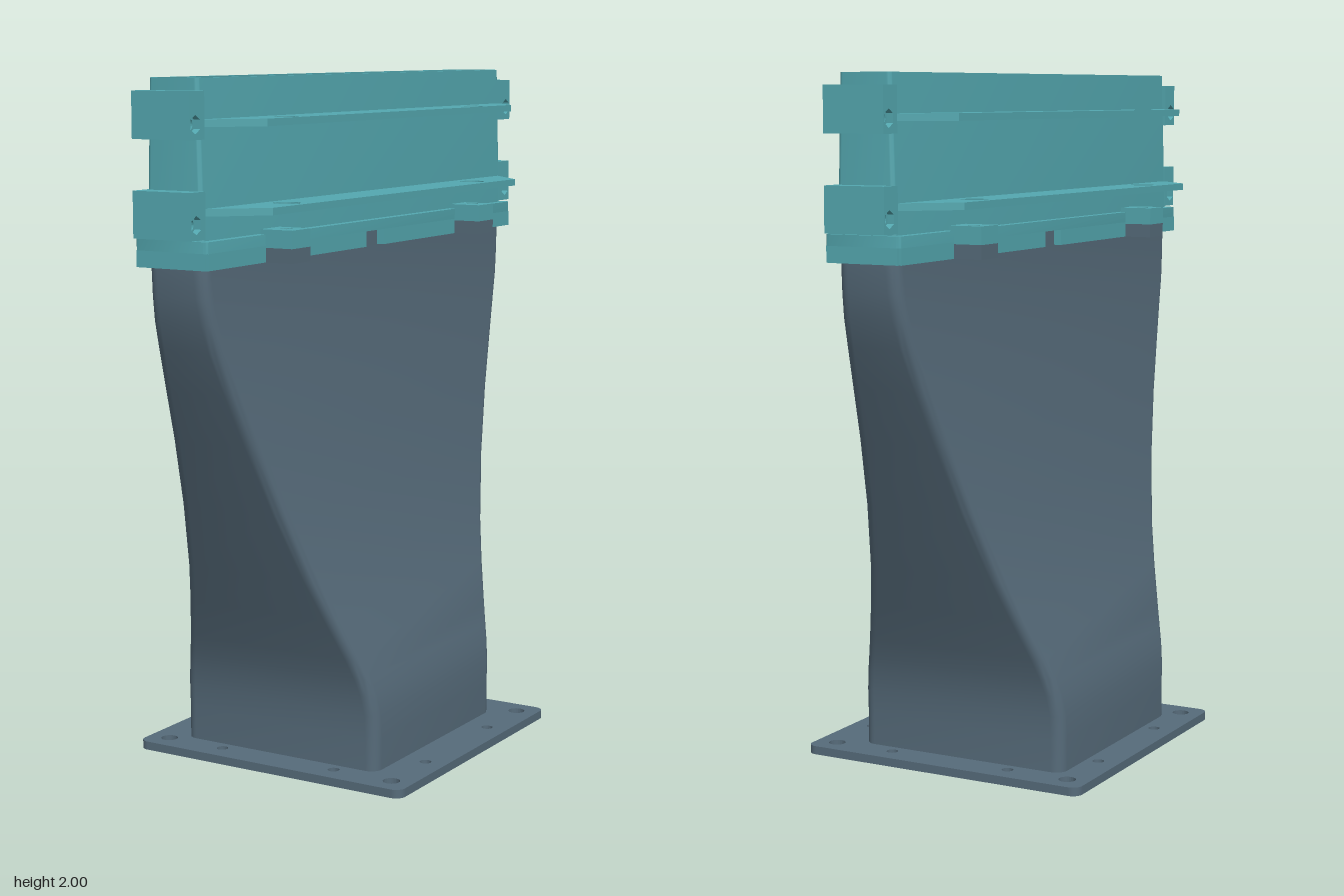
import * as THREE from 'three';
import { toCreasedNormals } from 'three/addons/utils/BufferGeometryUtils.js';

const CX = -0.018; // the duct sits slightly off the flange centre

const slate = new THREE.MeshStandardMaterial({ name: 'slate grey', color: 0x566b7a });
const teal = new THREE.MeshStandardMaterial({ name: 'teal', color: 0x54a8b0 });

// Closed tube wall: rounded-rectangle rings [y, halfX, halfZ, radius], up the outside and down the inside
function shell(rings) {
  const pos = [], index = [], seg = 6, n = 4 * (seg + 1);
  for (const [y, hx, hz, r] of rings) {
    for (let q = 0; q < 4; q++) {
      const sx = q === 0 || q === 3 ? 1 : -1, sz = q < 2 ? 1 : -1;
      for (let k = 0; k <= seg; k++) {
        const a = (q + k / seg) * Math.PI / 2;
        pos.push(sx * (hx - r) + r * Math.cos(a), y, sz * (hz - r) + r * Math.sin(a));
      }
    }
  }
  for (let i = 0; i < rings.length; i++) {
    const up = (i + 1) % rings.length;
    for (let j = 0; j < n; j++) {
      const k = (j + 1) % n;
      const a = i * n + j, b = i * n + k, c = up * n + k, d = up * n + j;
      index.push(a, d, b, b, d, c);
    }
  }
  const g = new THREE.BufferGeometry();
  g.setAttribute('position', new THREE.Float32BufferAttribute(pos, 3));
  g.setIndex(index);
  return toCreasedNormals(g, 0.6);
}

// Outline with round holes [x, y, radius, sides]
function outline(points, holes = []) {
  const s = new THREE.Shape(points.map(p => new THREE.Vector2(...p)));
  for (const [x, y, r] of holes) {
    s.holes.push(new THREE.Path().absarc(x, y, r, 0, Math.PI * 2, true));
  }
  return s;
}

function extrude(shape, depth) {
  return new THREE.ExtrudeGeometry(shape, { depth, bevelEnabled: false, curveSegments: 12 });
}

// Horizontal plate: plan outline raised from y0 to y1
function plate(shape, y0, y1) {
  return extrude(shape, y1 - y0).rotateX(-Math.PI / 2).translate(0, y0, 0);
}

const rect = (x0, x1, y0, y1) => [[x0, y0], [x1, y0], [x1, y1], [x0, y1]];

function roundedRect(hx, hy, r) {
  const s = new THREE.Shape();
  s.absarc(hx - r, hy - r, r, 0, Math.PI / 2);
  s.absarc(r - hx, hy - r, r, Math.PI / 2, Math.PI);
  s.absarc(r - hx, r - hy, r, Math.PI, Math.PI * 1.5);
  s.absarc(hx - r, r - hy, r, Math.PI * 1.5, Math.PI * 2);
  return s;
}

export function createModel() {
  const model = new THREE.Group();
  model.name = 'ductAdapter';
  const nozzle = new THREE.Group();
  nozzle.name = 'nozzle';
  nozzle.position.x = CX;
  model.add(nozzle);

  const add = (name, geometry, material, parent = nozzle) => {
    const m = new THREE.Mesh(geometry, material);
    m.name = name;
    parent.add(m);
    return m;
  };

  // Mounting flange with bolt holes around an open middle
  const flange = roundedRect(0.45, 0.457, 0.03);
  const hole = (x, y, r) => flange.holes.push(new THREE.Path().absarc(x, y, r, 0, Math.PI * 2, true));
  for (const sx of [-1, 1]) for (const sy of [-1, 1]) {
    hole(sx * 0.385, sy * 0.392, 0.025);
    hole(sx * 0.385, sy * 0.193, 0.017);
    hole(sx * 0.193, sy * 0.392, 0.017);
  }
  flange.holes.push(new THREE.Path(rect(CX - 0.316, CX + 0.316, -0.341, 0.341).map(p => new THREE.Vector2(...p))));
  add('flange', plate(flange, 0, 0.025), slate, model);

  // Duct that narrows across x while it widens along z
  const duct = [
    [0.005, 0.33, 0.355], [0.12, 0.33, 0.355], [0.19, 0.329, 0.359], [0.25, 0.321, 0.369],
    [0.3, 0.309, 0.383], [0.36, 0.292, 0.405], [0.48, 0.255, 0.457], [0.6, 0.221, 0.51],
    [0.8, 0.177, 0.597], [1.0, 0.143, 0.684], [1.15, 0.122, 0.75], [1.27, 0.107, 0.8],
    [1.35, 0.1, 0.828], [1.42, 0.095, 0.843], [1.5, 0.093, 0.85], [1.56, 0.093, 0.85],
  ].map(([y, hx, hz]) => [y, hx, hz, 0.035]);
  const ductInside = duct.map(([y, hx, hz]) => [y, hx - 0.015, hz - 0.015, 0.02]).reverse();
  add('duct', shell([...duct, ...ductInside]), slate);

  // Collar: full upper rim, lower skirt with a notch in the middle of each long side
  add('collarRim', shell([
    [1.545, 0.116, 0.868, 0.012], [1.576, 0.116, 0.868, 0.012],
    [1.576, 0.07, 0.84, 0.005], [1.545, 0.07, 0.84, 0.005],
  ]), teal);
  for (const s of [-1, 1]) {
    add('collarEnd', new THREE.BoxGeometry(0.216, 0.045, 0.024).translate(0, 1.5225, s * 0.856), teal);
    for (const t of [-1, 1]) {
      add('collarSide', new THREE.BoxGeometry(0.026, 0.045, 0.812).translate(s * 0.103, 1.5225, t * 0.456), teal);
    }
  }

  // Slot sleeve, slightly tapered and open at the top
  add('sleeve', shell([
    [1.565, 0.091, 0.85, 0.012], [2, 0.078, 0.85, 0.012],
    [2, 0.063, 0.833, 0.005], [1.565, 0.066, 0.833, 0.005],
  ]), teal);

  for (const s of [-1, 1]) {
    // Long side fins with clipped corners and clearance holes
    for (const [y, reach] of [[1.64, 0.217], [1.873, 0.201]]) {
      const fin = outline(
        [[0.07, -0.835], [0.09, -0.835], [reach, -0.705], [reach, 0.705], [0.09, 0.835], [0.07, 0.835]]
          .map(([x, z]) => [s * x, z]),
        [[s * 0.153, -0.538, 0.038 * reach / 0.217], [s * 0.153, 0.538, 0.038 * reach / 0.217]]);
      add('sideFin', plate(fin, y, y + 0.02), teal);
    }

    // Screw tabs: teal ear on the collar over a grey ear on the duct
    for (const t of [-1, 1]) {
      const z = t * 0.54;
      const ear = inner => outline(
        rect(Math.min(s * inner, s * 0.201), Math.max(s * inner, s * 0.201), z - 0.047, z + 0.047),
        [[s * 0.153, z, 0.017]]);
      add('collarTab', plate(ear(0.1), 1.54, 1.59), teal);
      add('ductTab', plate(ear(0.112), 1.5, 1.54), slate);
    }

    // End blocks with a cross hole, widened into a hexagonal pocket at both faces
    for (const y of [1.58, 1.841]) {
      const face = rect(0.838, 0.907, y, y + 0.126);
      const bore = outline(face, [[0.88, y + 0.04, 0.016]]);
      const pocket = outline(face);
      pocket.holes.push(new THREE.Path(Array.from({ length: 6 }, (_, i) => new THREE.Vector2(
        0.88 + 0.025 * Math.sin(i * Math.PI / 3), y + 0.04 + 0.025 * Math.cos(i * Math.PI / 3)))));
      const block = new THREE.Group();
      block.name = 'endBlock';
      block.rotation.y = -s * Math.PI / 2;
      nozzle.add(block);
      add('blockCore', extrude(bore, 0.144).translate(0, 0, -0.072), teal, block);
      add('blockFace', extrude(pocket, 0.02).translate(0, 0, 0.072), teal, block);
      add('blockFace', extrude(pocket, 0.02).translate(0, 0, -0.092), teal, block);
    }
  }
  return model;
}
